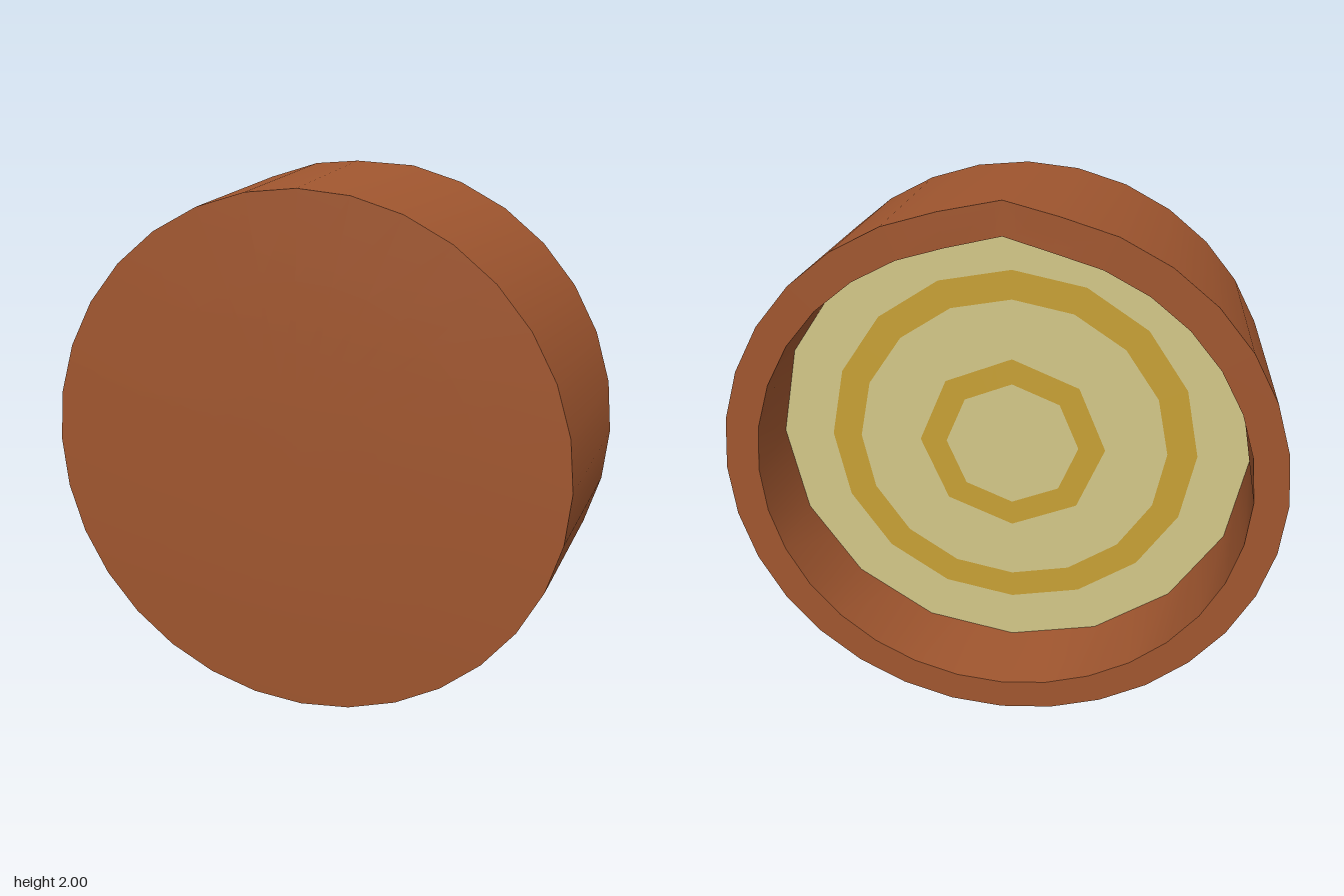
import * as THREE from 'three';

const SEGMENTS = 32;
const BACK = -0.39;
const FLOOR = -0.08;

// Radius at angle t of an n-sided polygon with a corner on the x axis
function polygonRadius(r, n, t) {
  const step = (Math.PI * 2) / n;
  return (r * Math.cos(step / 2)) / Math.cos((t % step) - step / 2);
}

// Skin through cross-sections [radius, z, sides]; sides defaults to 32
function loft(sections) {
  const positions = [];
  const index = [];
  for (const [r, z, sides = SEGMENTS] of sections) {
    for (let i = 0; i < SEGMENTS; i++) {
      const t = (i / SEGMENTS) * Math.PI * 2;
      const radius = polygonRadius(r, sides, t);
      // Small notch in the back rim at the very top
      const notch = z === BACK && i === SEGMENTS / 4 ? 0.09 : 0;
      positions.push(radius * Math.cos(t), 1 + radius * Math.sin(t), z + notch);
    }
  }
  for (let s = 0; s < sections.length - 1; s++) {
    for (let i = 0; i < SEGMENTS; i++) {
      const j = (i + 1) % SEGMENTS;
      const a = s * SEGMENTS + i;
      const b = s * SEGMENTS + j;
      const c = b + SEGMENTS;
      const d = a + SEGMENTS;
      // Skip the collapsed triangle at a centre point
      if (sections[s][0] > 0) index.push(a, b, c);
      if (sections[s + 1][0] > 0) index.push(a, c, d);
    }
  }
  const geometry = new THREE.BufferGeometry();
  geometry.setAttribute('position', new THREE.Float32BufferAttribute(positions, 3));
  geometry.setIndex(index);
  geometry.computeVertexNormals();
  return geometry;
}

export function createModel() {
  const group = new THREE.Group();
  group.name = 'logSlice';

  const bark = new THREE.MeshStandardMaterial({ color: 0xa0562f });
  const paleWood = new THREE.MeshStandardMaterial({ color: 0xd2c687 });
  const darkWood = new THREE.MeshStandardMaterial({ color: 0xc6a035 });

  const add = (name, material, sections) => {
    const mesh = new THREE.Mesh(loft(sections), material);
    mesh.name = name;
    group.add(mesh);
  };

  // Bark shell: tapered side, slightly domed front, back rim and recess wall
  add('barkSide', bark, [[1, BACK], [0.955, 0.368]]);
  add('barkFront', bark, [[0.955, 0.368], [0.65, 0.383], [0.3, 0.388], [0, 0.388]]);
  add('barkRim', bark, [[0.88, BACK], [1, BACK]]);
  add('recessWall', bark, [[0.88, FLOOR, 16], [0.88, BACK]]);

  // Recessed cut face with alternating growth rings
  const rings = [[0, 8], [0.25, 8], [0.35, 8], [0.58, 16], [0.69, 16], [0.88, 16]];
  for (let i = 0; i < rings.length - 1; i++) {
    const [r0, n0] = rings[i];
    const [r1, n1] = rings[i + 1];
    const dark = i % 2 === 1;
    add(dark ? 'growthRing' : 'cutWood', dark ? darkWood : paleWood, [[r0, FLOOR, n0], [r1, FLOOR, n1]]);
  }

  return group;
}
